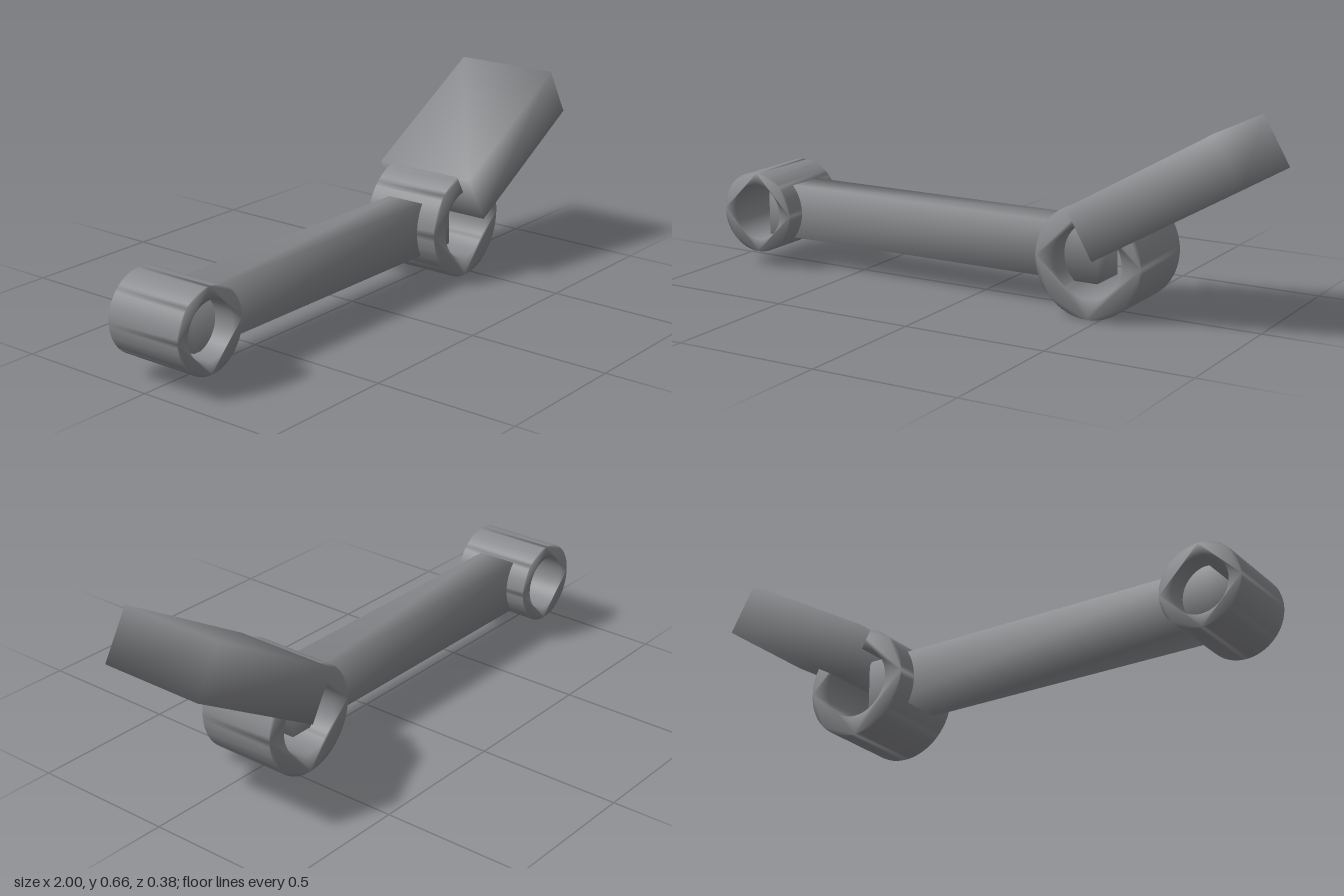
import * as THREE from 'three';
import { mergeVertices } from 'three/addons/utils/BufferGeometryUtils.js';

// Weld all corners so that shading flows across every edge
function weld(geometry) {
  geometry.deleteAttribute('normal');
  geometry.deleteAttribute('uv');
  geometry.clearGroups();
  const welded = mergeVertices(geometry, 1e-4);
  welded.computeVertexNormals();
  return welded;
}

// Bored ring with its axis along z
function ringGeometry(outer, inner, depth) {
  const shape = new THREE.Shape().absarc(0, 0, outer, 0, Math.PI * 2, false);
  shape.holes.push(new THREE.Path().absarc(0, 0, inner, 0, Math.PI * 2, true));
  const geometry = new THREE.ExtrudeGeometry(shape, { depth, bevelEnabled: false, curveSegments: 32 });
  geometry.translate(0, 0, -depth / 2);
  return weld(geometry);
}

export function createModel() {
  const model = new THREE.Group();
  const steel = new THREE.MeshStandardMaterial({ color: 0x8a8b8e });
  steel.name = 'steel grey';

  const axisY = 0.192, smallX = -0.858, bigX = 0.459;
  function add(name, geometry, x, y, tilt = 0) {
    const mesh = new THREE.Mesh(geometry, steel);
    mesh.name = name;
    mesh.position.set(x, y, 0);
    mesh.rotation.z = tilt;
    model.add(mesh);
  }

  // Rod and its two bored ends
  add('smallEnd', ringGeometry(0.142, 0.098, 0.287), smallX, axisY + 0.002);
  add('bigEnd', ringGeometry(0.19, 0.122, 0.287), bigX, axisY - 0.002);
  add('beam', weld(new THREE.BoxGeometry(bigX - smallX, 0.189, 0.143)), (smallX + bigX) / 2, axisY + 0.003);

  // Slanted block rising from the big end
  add('slantedCap', weld(new THREE.BoxGeometry(0.579, 0.189, 0.384)), 0.702, 0.434, Math.PI / 6);

  return model;
}
